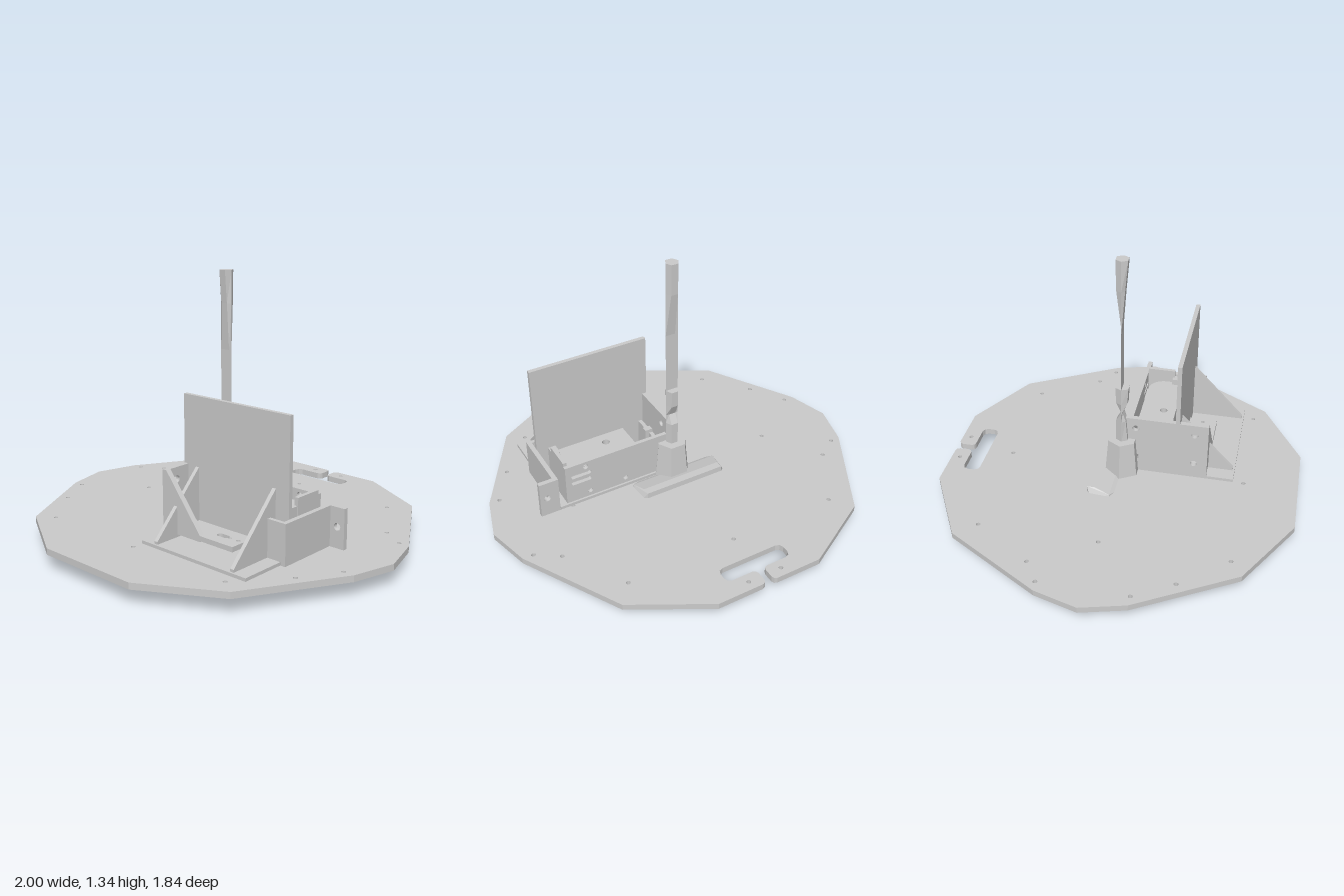
import * as THREE from 'three';
import { ConvexGeometry } from 'three/addons/geometries/ConvexGeometry.js';

const grey = new THREE.MeshStandardMaterial({ color: 0xcccccc, flatShading: true, side: THREE.DoubleSide });

export function createModel() {
  const model = new THREE.Group();

  const add = (name, geometry) => {
    const mesh = new THREE.Mesh(geometry, grey);
    mesh.name = name;
    model.add(mesh);
    return mesh;
  };

  // Box given by its minimum and maximum corners
  const box = (name, x0, x1, y0, y1, z0, z1) =>
    add(name, new THREE.BoxGeometry(x1 - x0, y1 - y0, z1 - z0)
      .translate((x0 + x1) / 2, (y0 + y1) / 2, (z0 + z1) / 2));

  // Flat outline with round holes [x, y, radius] and rounded slots [x0, x1, y, radius]
  const slab = (pts, depth, holes = [], slots = []) => {
    const shape = new THREE.Shape(pts.map(([x, y]) => new THREE.Vector2(x, y)));
    for (const [x, y, r] of holes) {
      shape.holes.push(new THREE.Path().absarc(x, y, r, 0, Math.PI * 2));
    }
    for (const [x0, x1, y, r] of slots) {
      shape.holes.push(new THREE.Path()
        .absarc(x1, y, r, -Math.PI / 2, Math.PI / 2)
        .absarc(x0, y, r, Math.PI / 2, Math.PI * 1.5));
    }
    return new THREE.ExtrudeGeometry(shape, { depth, bevelEnabled: false, curveSegments: 8 });
  };
  const rect = (x0, x1, y0, y1) => [[x0, y0], [x1, y0], [x1, y1], [x0, y1]];
  const flatSlab = (geo, top) => geo.rotateX(Math.PI / 2).translate(0, top, 0); // outline in x, z
  const sideSlab = (geo, xMax) => geo.rotateY(-Math.PI / 2).translate(xMax, 0, 0); // outline in z, y

  // Twelve-sided deck with a slotted notch in its back edge
  const half = [
    [0.28, 0.92], [0.66, 0.7], [0.94, 0.22], [1, 0], [0.94, -0.22], [0.66, -0.71], [0.28, -0.92],
    [0.04, -0.92], [0.026, -0.914], [0.02, -0.9], [0.02, -0.85], [0.026, -0.836], [0.04, -0.83],
    [0.15, -0.83], [0.17, -0.822], [0.178, -0.8], [0.178, -0.77], [0.17, -0.75], [0.15, -0.742],
  ];
  const outline = [...half, ...half.map(([x, z]) => [-x, z]).reverse()];
  const deckHoles = [[0, -0.605, 0.011], [0, 0.64, 0.011]];
  const holePairs = [[0.09, -0.875], [0.575, -0.605], [0.77, -0.3], [0.885, -0.225],
    [0.575, 0], [0.885, 0.22], [0.77, 0.41], [0.575, 0.64]];
  for (const [x, z] of holePairs) {
    for (const s of [-1, 1]) deckHoles.push([s * x, z, 0.011]);
  }
  add('deck', flatSlab(slab(outline, 0.032, deckHoles), 0.111));

  // Faceted float set through the deck
  const floatPoints = [];
  for (const s of [-1, 1]) {
    for (const [x, y, z] of [
      [0.2, 0.004, -0.045], [0.2, 0.004, -0.11], [0.225, 0.015, -0.02], [0.24, 0.03, -0.13],
      [0.255, 0.08, -0.015], [0.255, 0.08, -0.115], [0.22, 0.06, -0.145], [0.22, 0.14, -0.14],
      [0.22, 0.14, -0.1], [0.24, 0.12, -0.02], [0.2, 0.06, 0], [0.2, 0.11, 0],
    ]) floatPoints.push(new THREE.Vector3(s * x, y, z));
  }
  floatPoints.push(new THREE.Vector3(0, 0, -0.07));
  add('float', new ConvexGeometry(floatPoints));

  // Six-sided mast socket
  add('mastSocket', new THREE.CylinderGeometry(0.078, 0.096, 0.2, 6).rotateY(Math.PI / 6).translate(0, 0.21, 0));

  // Mast: six-sided sections [y, back z, front z] that flatten to a blade midway
  const rows = [[0.3, -0.03, 0.03], [0.43, -0.03, 0.02], [0.48, -0.004, 0.004], [0.54, -0.03, 0.028],
    [0.63, -0.033, 0.033], [0.63, 0, 0], [0.95, 0, 0], [1.18, -0.027, 0.016], [1.34, -0.03, 0.03]];
  const pos = [], idx = [];
  rows.forEach(([y, b, f], i) => {
    pos.push(0.034, y, 0, 0.018, y, f, -0.018, y, f, -0.034, y, 0, -0.018, y, b, 0.018, y, b);
    for (let k = 0; i > 0 && k < 6; k++) {
      const a = (i - 1) * 6 + k, c = (i - 1) * 6 + (k + 1) % 6;
      idx.push(a, a + 6, c, c, a + 6, c + 6);
    }
  });
  const top = (rows.length - 1) * 6;
  for (let k = 1; k < 5; k++) idx.push(top, top + k + 1, top + k);
  const mast = new THREE.BufferGeometry();
  mast.setAttribute('position', new THREE.Float32BufferAttribute(pos, 3));
  mast.setIndex(idx);
  mast.computeVertexNormals();
  add('mast', mast);

  // Mount base, upright panel and its two gussets
  box('mountBase', 0, 0.64, 0.111, 0.127, 0, 0.585);
  box('panel', 0, 0.64, 0.127, 0.78, 0.275, 0.297);
  for (const x of [0.075, 0.545]) {
    add('gusset', sideSlab(slab([[0.297, 0.127], [0.575, 0.127], [0.575, 0.14], [0.297, 0.435]], 0.02), x + 0.02));
  }

  // Tall side wall with four holes
  const wallHoles = [];
  for (const z of [0.07, 0.375]) for (const y of [0.2, 0.38]) wallHoles.push([z, y, 0.018]);
  add('tallSideWall', sideSlab(slab(rect(0, 0.445, 0.111, 0.44), 0.025, wallHoles), 0.025));

  // Triangular brace and slotted tray in front of the panel
  add('brace', slab([[0.025, 0.14], [0.24, 0.14], [0.24, 0.17], [0.025, 0.44]], 0.028).translate(0, 0, 0.417));
  add('tray', flatSlab(slab(rect(0.025, 0.44, 0.297, 0.445), 0.025,
    [[0.41, 0.37, 0.01], [0.36, 0.37, 0.008]], [[0.3, 0.335, 0.37, 0.016]]), 0.17));

  // Short side wall, its front return and the drilled ear
  box('shortSideWall', 0.643, 0.667, 0.111, 0.31, 0, 0.352);
  box('frontReturn', 0.565, 0.643, 0.127, 0.31, 0.332, 0.352);
  add('ear', slab(rect(0.667, 0.745, 0.111, 0.31), 0.024, [[0.706, 0.215, 0.018]]));

  // Perforated back wall
  add('backWall', slab(rect(0.025, 0.6, 0.127, 0.35), 0.02,
    [[0.49, 0.32, 0.015], [0.47, 0.16, 0.015], [0.27, 0.16, 0.015]],
    [[0.47, 0.56, 0.28, 0.011], [0.47, 0.56, 0.24, 0.011]]).translate(0, 0, 0.01));

  // Housing with one rounded corner and a small bracket on its end
  const housing = new THREE.Shape();
  housing.moveTo(0.17, 0.045).lineTo(0.49, 0.045)
    .absarc(0.49, 0.135, 0.09, -Math.PI / 2, 0).lineTo(0.58, 0.23).lineTo(0.17, 0.23);
  housing.holes.push(new THREE.Path().absarc(0.3, 0.165, 0.02, 0, Math.PI * 2));
  add('housing', flatSlab(new THREE.ExtrudeGeometry(housing, { depth: 0.17, bevelEnabled: false }), 0.297));
  box('housingBracket', 0.555, 0.595, 0.127, 0.33, 0.17, 0.23);
  box('endTab', 0.58, 0.6, 0.127, 0.37, 0.03, 0.18);
  box('guideBar', 0.05, 0.09, 0.25, 0.32, 0.12, 0.15);
  box('guidePost', 0.05, 0.07, 0.127, 0.3, 0.06, 0.24);

  return model;
}
